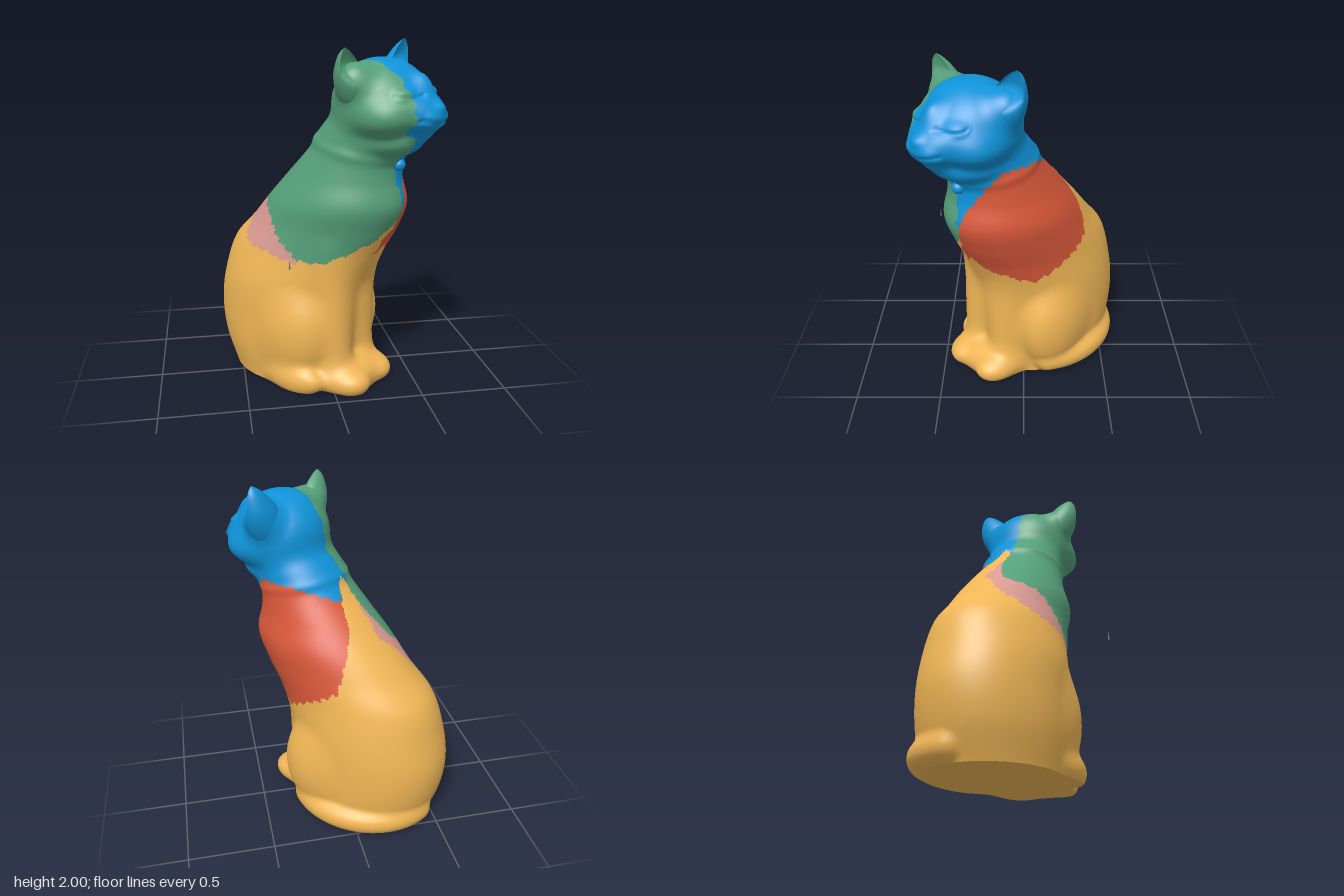
import * as THREE from 'three';

const COLS = 190, ROWS = 210, CAP = 24, TOP = 1.908;
const COLORS = { hindBodyShard: 0xf0b656, rightSideShard: 0x55a07a, headShard: 0x0f93d8,
  shoulderShard: 0xd9583a, backPatch: 0xd99a92 };

// Smooth interpolation through rows of [key, value, value, ...]
function sample(table, x, col) {
  const n = table.length - 1;
  if (x <= table[0][0]) return table[0][col];
  if (x >= table[n][0]) return table[n][col];
  let i = 0;
  while (x > table[i + 1][0]) i++;
  const slope = (k) => {
    const a = table[Math.max(k - 1, 0)], b = table[Math.min(k + 1, n)];
    return (b[col] - a[col]) / (b[0] - a[0]);
  };
  const a = table[i], b = table[i + 1], h = b[0] - a[0], t = (x - a[0]) / h;
  const t2 = t * t, t3 = t2 * t;
  return (2 * t3 - 3 * t2 + 1) * a[col] + (t3 - 2 * t2 + t) * h * slope(i)
    + (3 * t2 - 2 * t3) * b[col] + (t3 - t2) * h * slope(i + 1);
}
function linear(table, x) {
  let i = 0;
  while (i < table.length - 2 && x > table[i + 1][0]) i++;
  const [x0, a] = table[i], [x1, b] = table[i + 1];
  return THREE.MathUtils.lerp(a, b, THREE.MathUtils.clamp((x - x0) / (x1 - x0), 0, 1));
}

// Torso sections: height, forward centre, half depth, half width, sideways centre
const TORSO = [
  [0, -.18, .42, .36, -.015], [.2, -.21, .465, .385, -.02], [.4, -.21, .49, .39, -.02],
  [.6, -.18, .485, .385, -.02], [.8, -.105, .495, .355, -.01], [.95, .005, .465, .34, 0],
  [1.1, .1, .425, .335, 0], [1.25, .155, .34, .29, 0], [1.4, .226, .27, .255, 0],
  [1.5, .27, .25, .245, 0], [1.65, .36, .22, .22, 0], [1.95, .39, .1, .1, 0],
];

// Distance helpers
const smin = (a, b, k) => {
  const h = Math.max(k - Math.abs(a - b), 0) / k;
  return Math.min(a, b) - h * h * k * .25;
};
function ellipsoid(x, y, z, [cx, cy, cz, rx, ry, rz]) {
  const a = (x - cx) / rx, b = (y - cy) / ry, c = (z - cz) / rz;
  const k0 = Math.hypot(a, b, c), k1 = Math.hypot(a / rx, b / ry, c / rz);
  return k1 < 1e-6 ? -Math.min(rx, ry, rz) : k0 * (k0 - 1) / k1;
}
function capsule(x, y, z, [ax, ay, az], [bx, by, bz], r) {
  const dx = bx - ax, dy = by - ay, dz = bz - az;
  const t = THREE.MathUtils.clamp(((x - ax) * dx + (y - ay) * dy + (z - az) * dz) / (dx * dx + dy * dy + dz * dz), 0, 1);
  return Math.hypot(x - ax - t * dx, y - ay - t * dy, z - az - t * dz) - r;
}

// Rounded masses: cx, cy, cz, rx, ry, rz, blend (head first, then limbs)
const HEAD = [
  [0, 1.675, .385, .28, .235, .265, .06],
  [0, 1.64, .535, .21, .13, .195, .07],
  [0, 1.61, .63, .13, .085, .13, .05],
  [0, 1.53, .57, .085, .07, .115, .05],
  [0, 1.47, .42, .2, .1, .2, .06],
  [0, 1.66, .725, .036, .028, .035, .03],
  [0, 1.73, .615, .05, .10, .065, .06],
];
for (const s of [-1, 1]) HEAD.push(
  [s * .17, 1.61, .48, .11, .09, .14, .06],
  [s * .055, 1.605, .69, .06, .045, .06, .02],
  [s * .13, 1.725, .59, .062, .034, .05, .03],
  [s * .215, 1.79, .35, .1, .1, .1, .06]);
const LIMBS = [[-.335, .06, .03, .09, .1, .19, .05]];
for (const s of [-1, 1]) LIMBS.push([s * .25 - .015, .33, -.03, .165, .32, .245, .05]);
const LEGS = [-.175, .055];
for (const x of LEGS) LIMBS.push([x, .05, .29, .12, .09, .15, .09]);
LIMBS.push([-.06, .04, .26, .14, .12, .14, .05]);
const TAIL = [];
for (let i = 0; i <= 20; i++) {
  const a = (172 - i * 6) * Math.PI / 180;
  TAIL.push([.355 * Math.sin(a) - .01, .085, -.19 + .4 * Math.cos(a)]);
}

// Whole figure as a blended distance field (z is forward)
function field(x, y, z) {
  const [c, au, as, cx] = [1, 2, 3, 4].map((col) => sample(TORSO, y, col));
  let d = (Math.hypot((x - cx) / as, (z - c) / au) - 1) * Math.min(au, as);
  const ring = (y - 1.42 + .22 * (z - .23)) / .03;
  d -= .009 * Math.exp(-ring * ring);
  d = Math.max(d, y - 1.65);
  if (y > 1.2) {
    for (const e of HEAD) d = smin(d, ellipsoid(x, y, z, e), e[6]);
    if (z > .5) { // closed eyes and mouth
      const ax = Math.abs(x);
      const eye = (y - 1.715 - 3 * (ax - .13) ** 2) / .008, mouth = (y - 1.572 - .25 * ax) / .01;
      if (ax > .06 && ax < .2) d += .008 * Math.exp(-eye * eye);
      if (ax < .13) d += .01 * Math.exp(-mouth * mouth);
    }
  }
  if (y < 1.2) {
    for (const e of LIMBS) d = smin(d, ellipsoid(x, y, z, e), e[6]);
    for (const lx of LEGS) d = smin(d, capsule(x, y, z, [lx, .85, .18], [lx, .06, .205], .1), .07);
    if (y < .3) {
      let tail = 9;
      for (let i = 0; i < 20; i++) tail = Math.min(tail, capsule(x, y, z, TAIL[i], TAIL[i + 1], .08));
      d = smin(d, tail, .03);
    }
  }
  return d;
}

// Break lines: height by angle in degrees away from the front
const GREEN_LOW = [[0, 1.02], [12, .92], [28, .84], [45, .78], [63, .79], [74, .83], [97, .9], [115, .97], [130, 1.03], [163, 1.1], [172, 1.25], [180, 1.48]];
const PINK_LOW = [[0, 2], [58, 2], [62, .77], [74, .78], [97, .81], [120, .82], [135, .85], [160, .96], [180, 1.15]];
const BLUE_LOW = [[0, 1.05], [12, 1.23], [33, 1.35], [60, 1.45], [110, 1.45], [150, 1.38], [162, 1.35], [180, 1.48]];
const RED_LOW = [[0, .88], [8, .79], [20, .76], [38, .7], [72, .8], [118, .91], [135, 1.04], [150, 1.18], [162, 1.34], [180, 1.48]];
// Break line between the two halves: sideways place by height, and by depth on the head
const CHEST_SPLIT = [[.9, -.05], [1.02, .01], [1.1, .02], [1.45, -.05]];
const HEAD_SPLIT = [[.1, -.03], [.2, -.04], [.39, -.106], [.75, -.15]];
function pieceAt(x, y, z) {
  const a = Math.abs(Math.atan2(x, z - sample(TORSO, y, 1))) * 180 / Math.PI;
  const rough = .007 * Math.sin(a * .5) + .004 * Math.sin(a * 1.1 + 1);
  const split = THREE.MathUtils.lerp(linear(CHEST_SPLIT, y), linear(HEAD_SPLIT, z), THREE.MathUtils.smoothstep(y, 1.45, 1.56))
    + .008 * Math.sin(y * 60) + .005 * Math.sin(y * 131 + z * 40);
  const h = y + rough;
  if (x < split) {
    if (h > linear(GREEN_LOW, a)) return 'rightSideShard';
    return h > linear(PINK_LOW, a) ? 'backPatch' : 'hindBodyShard';
  }
  if (h > linear(BLUE_LOW, a)) return 'headShard';
  return h > linear(RED_LOW, a) ? 'shoulderShard' : 'hindBodyShard';
}

// Closed rings stacked upwards
function stack(rows, cols, point) {
  const pos = [], idx = [];
  for (let j = 0; j < rows; j++) for (let i = 0; i < cols; i++) pos.push(...point(i / cols * Math.PI * 2, j));
  for (let j = 0; j < rows - 1; j++) for (let i = 0; i < cols; i++) {
    const k = (i + 1) % cols, a = j * cols + i, b = j * cols + k;
    idx.push(a, b, b + cols, a, b + cols, a + cols);
  }
  const g = new THREE.BufferGeometry();
  g.setAttribute('position', new THREE.Float32BufferAttribute(pos, 3));
  g.setIndex(idx);
  g.computeVertexNormals();
  return g;
}

// Skin point found by walking inwards to the field; the last ring closes the crown
function skinPoint(a, j) {
  const main = ROWS - CAP;
  const y = j < main ? 1.85 * j / main : 1.85 + (TOP - 1.85) * Math.sin((j - main) / (CAP - 1) * Math.PI / 2);
  const c = sample(TORSO, y, 1), sx = Math.sin(a), sz = Math.cos(a);
  let r = j === ROWS - 1 ? 0 : .8;
  for (let n = 0; n < 90 && r > .002; n++) {
    const d = field(sx * r, y, c + sz * r);
    if (d < .0006) break;
    r -= d * .7;
  }
  r = Math.max(r, 0);
  return [sx * r, y, c + sz * r];
}

// Broad ear, hollow in front, rooted inside the head
const EAR_WIDTH = [[0, .6], [.3, .85], [.6, .78], [.85, .45], [.96, .19], [1, .01]];
function ear(side, tipY) {
  const rows = 26;
  return stack(rows, 36, (a, j) => {
    const t = j / (rows - 1), w = sample(EAR_WIDTH, t, 1), c = Math.cos(a);
    const hollow = THREE.MathUtils.lerp(1, -.35, THREE.MathUtils.smoothstep(t, .45, .8));
    return [side * (.12 + .185 * t) + .15 * w * Math.sin(a),
      1.6 + (tipY - 1.6) * t, .35 + .12 * w * (c > 0 ? c * hollow : c)];
  });
}

export function createModel() {
  const model = new THREE.Group();
  const cat = new THREE.Group();
  cat.name = 'sittingCat';
  cat.rotation.y = Math.PI / 4;
  model.add(cat);
  const mats = {};
  for (const k in COLORS) mats[k] = new THREE.MeshStandardMaterial({ color: COLORS[k], side: THREE.DoubleSide });
  const add = (name, geo, mat) => {
    const m = new THREE.Mesh(geo, mat);
    m.name = name;
    cat.add(m);
    return m;
  };

  // Skin, sorted into the coloured shards
  const skin = stack(ROWS, COLS, skinPoint);
  const p = skin.attributes.position, index = skin.index.array, parts = {};
  for (const k in COLORS) parts[k] = [];
  for (let t = 0; t < index.length; t += 3) {
    const v = [index[t], index[t + 1], index[t + 2]];
    const mid = (f) => (f(v[0]) + f(v[1]) + f(v[2])) / 3;
    parts[pieceAt(mid((i) => p.getX(i)), mid((i) => p.getY(i)), mid((i) => p.getZ(i)))].push(...v);
  }
  for (const k in parts) {
    const g = new THREE.BufferGeometry();
    g.setAttribute('position', p);
    g.setAttribute('normal', skin.attributes.normal);
    g.setIndex(parts[k]);
    add(k, g.toNonIndexed(), mats[k]);
  }

  // Flat underside
  const outline = [];
  for (let i = 0; i < COLS; i++) outline.push(new THREE.Vector2(p.getX(i), p.getZ(i)));
  add('underside', new THREE.ShapeGeometry(new THREE.Shape(outline)).rotateX(Math.PI / 2), mats.hindBodyShard);

  // Ears and collar bell
  add('rightEar', ear(-1, 1.965), mats.rightSideShard);
  add('leftEar', ear(1, 2), mats.headShard);
  add('collarBell', new THREE.SphereGeometry(.036, 24, 16), mats.headShard).position.set(.01, 1.335, .5);

  // Loose splinter beside the body
  const chip = new THREE.Mesh(new THREE.ConeGeometry(.006, .05, 5), new THREE.MeshStandardMaterial({ color: 0x777777 }));
  chip.name = 'looseSplinter';
  chip.position.set(-.27, .855, .53);
  model.add(chip);
  return model;
}
